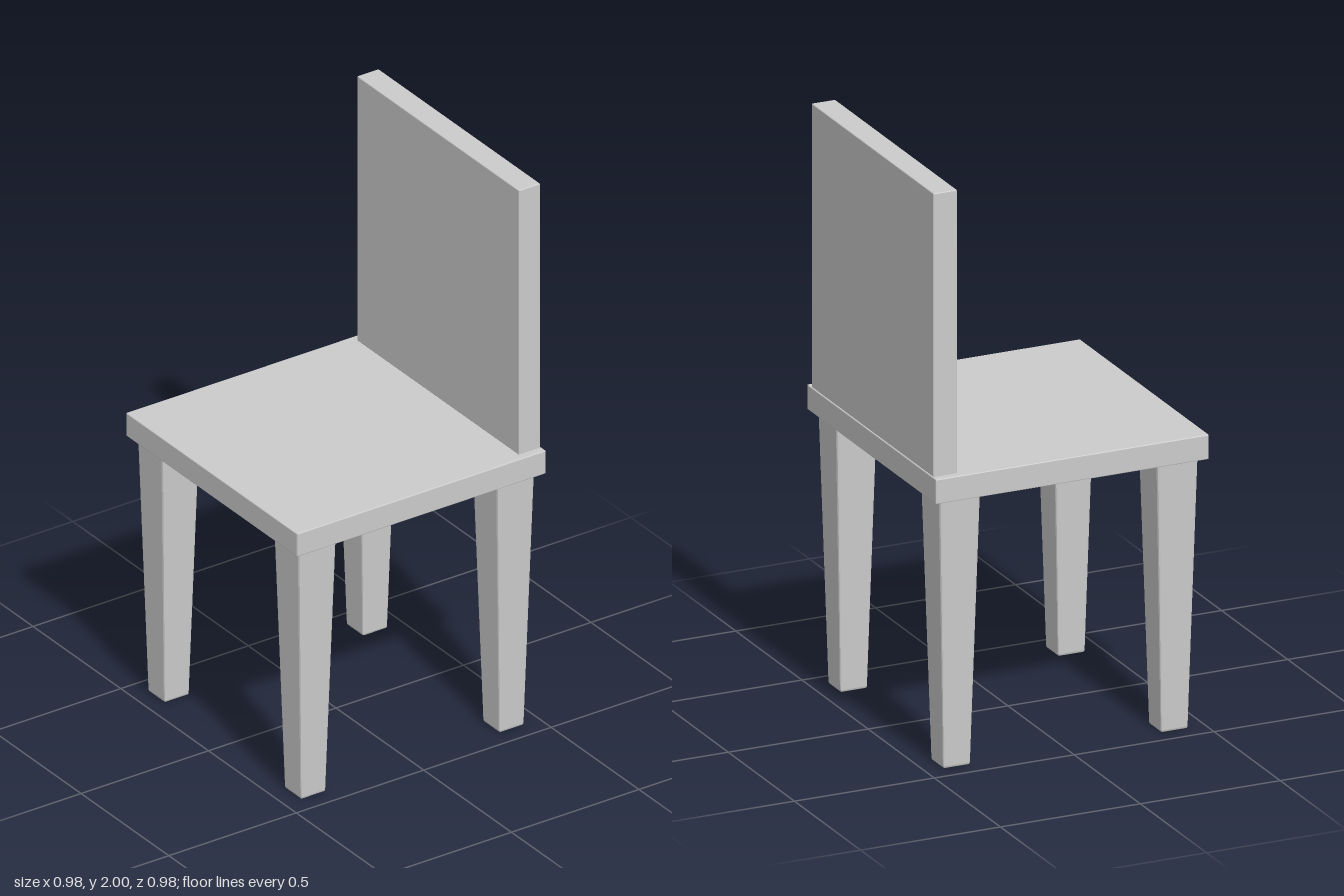
import * as THREE from 'three';
import { RoundedBoxGeometry } from 'three/addons/geometries/RoundedBoxGeometry.js';

const material = new THREE.MeshStandardMaterial({ color: 0xcccccc, flatShading: true });

// Box with a slim bevel, centred on the given point
function bevelBox(name, size, centre, bevel) {
  const mesh = new THREE.Mesh(new RoundedBoxGeometry(...size, 1, bevel), material);
  mesh.name = name;
  mesh.position.set(...centre);
  return mesh;
}

// Square leg that narrows towards the floor
function legGeometry(height, topWidth, bottomWidth) {
  const geometry = new RoundedBoxGeometry(topWidth, height, topWidth, 1, 0.008);
  const p = geometry.attributes.position;
  for (let i = 0; i < p.count; i++) {
    const t = p.getY(i) / height + 0.5;
    const k = THREE.MathUtils.lerp(bottomWidth / topWidth, 1, t);
    p.setX(i, p.getX(i) * k);
    p.setZ(i, p.getZ(i) * k);
  }
  geometry.computeVertexNormals();
  return geometry;
}

export function createModel() {
  const chair = new THREE.Group();
  chair.name = 'chair';

  // Seat slab, and the backrest standing along its +x edge
  chair.add(bevelBox('seat', [0.976, 0.085, 0.976], [0, 0.98, 0], 0.003));
  chair.add(bevelBox('backrest', [0.084, 0.98, 0.922], [0.442, 1.51, 0], 0.003));

  // Four tapered legs
  const height = 0.938;
  const leg = legGeometry(height, 0.146, 0.096);
  for (const [xName, x] of [['left', 0.389], ['right', -0.389]]) {
    for (const [zName, z] of [['Front', 0.389], ['Back', -0.389]]) {
      const mesh = new THREE.Mesh(leg, material);
      mesh.name = `${xName}${zName}Leg`;
      mesh.position.set(x, height / 2, z);
      chair.add(mesh);
    }
  }
  return chair;
}
